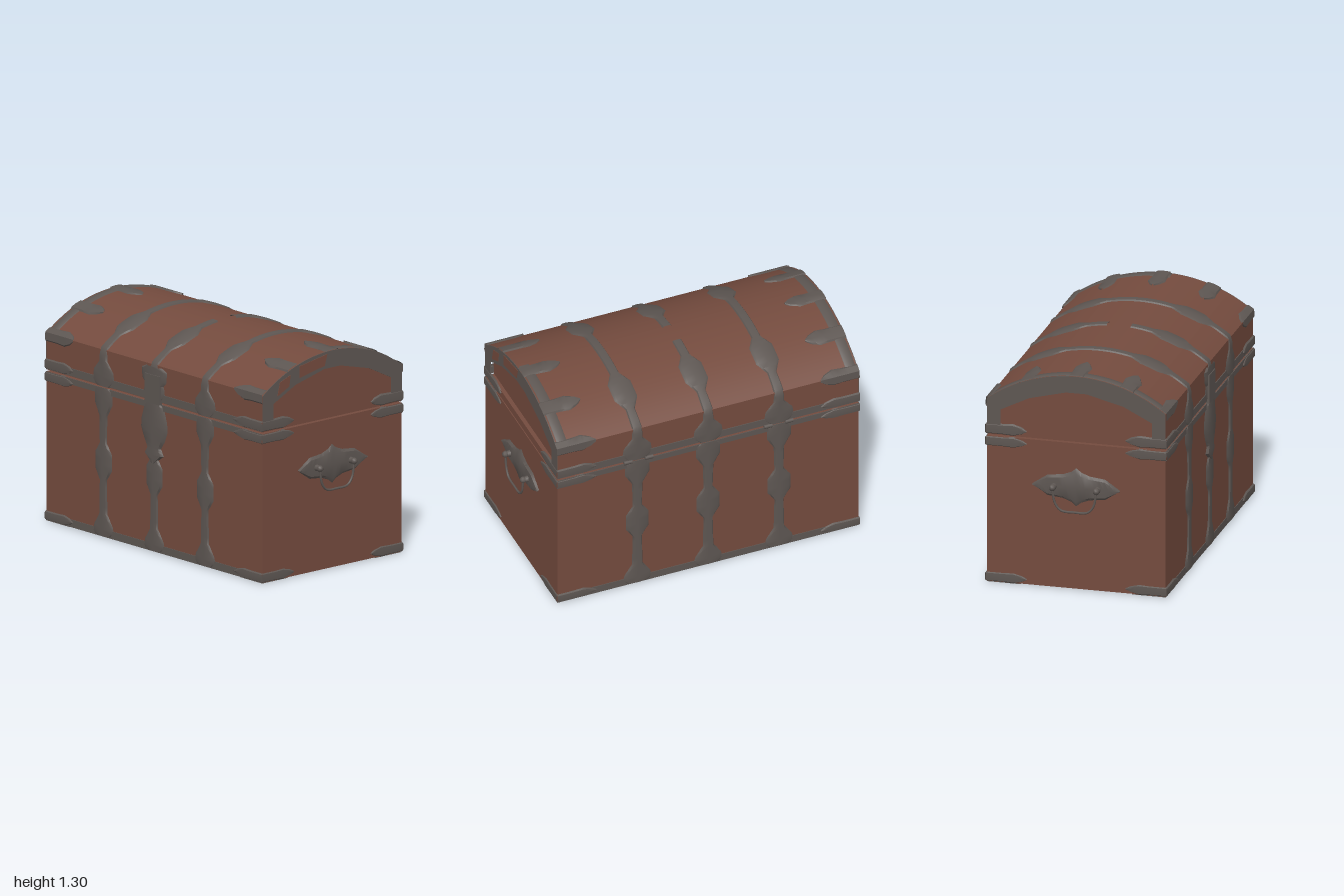
import * as THREE from 'three';
import { toCreasedNormals } from 'three/addons/utils/BufferGeometryUtils.js';

const W = 0.935, D = 0.53;            // half width and half depth of the chest
const SEAM = 0.895, SIDE = 0.215;     // lid bottom, height of the lid's upright wall
const R = 0.87, CY = 0.42, PHI = 0.655; // lid arch

export function createModel() {
  const chest = new THREE.Group();
  chest.name = 'chest';
  const leather = new THREE.MeshStandardMaterial({ color: 0x744b3e, name: 'brown leather' });
  const iron = new THREE.MeshStandardMaterial({ color: 0x5d5652, name: 'dark iron', side: THREE.DoubleSide });

  function add(name, geometry, material, x = 0, y = 0, z = 0) {
    const mesh = new THREE.Mesh(geometry, material);
    mesh.name = name;
    mesh.position.set(x, y, z);
    chest.add(mesh);
    return mesh;
  }
  const box = (name, w, h, d, mat, x, y, z) => add(name, new THREE.BoxGeometry(w, h, d), mat, x, y, z);

  // Extrudes a (z, y) outline along x from x0 to x1
  function slab(name, shape, x0, x1, mat) {
    const g = new THREE.ExtrudeGeometry(shape, { depth: x1 - x0, bevelEnabled: false });
    g.rotateY(-Math.PI / 2).translate(x1, 0, 0);
    return add(name, toCreasedNormals(g, 0.4), mat);
  }
  const outline = (pts) => new THREE.Shape(pts.map(([z, y]) => new THREE.Vector2(z, y)));

  // Point [y, z] on the lid at distance s above the seam, raised by h
  function lidPoint(s, h) {
    if (s < SIDE) return [SEAM + s, D + h];
    const a = PHI - (s - SIDE) / R;
    return [CY + (R + h) * Math.cos(a), (R + h) * Math.sin(a)];
  }

  // Domed metal strip: [distance, half width] profile laid on a surface by map(s, across, height)
  function strip(name, profile, thick, map) {
    const rows = [];
    for (let i = 0; i < profile.length - 1; i++) {
      const [s0, w0] = profile[i], [s1, w1] = profile[i + 1];
      const n = Math.max(1, Math.ceil(Math.abs(s1 - s0) / 0.04));
      for (let k = 0; k < n; k++) rows.push([s0 + (s1 - s0) * k / n, w0 + (w1 - w0) * k / n]);
    }
    rows.push(profile[profile.length - 1]);
    const across = [-1, -0.75, 0, 0.75, 1], height = [-0.003, 0.8 * thick, thick, 0.8 * thick, -0.003];
    const pos = [], index = [];
    rows.forEach(([s, w], r) => across.forEach((c, j) => {
      pos.push(...map(s, c * w, height[j]));
      if (r && j) {
        const b = r * 5 + j, a = b - 5;
        index.push(a - 1, a, b - 1, a, b, b - 1);
      }
    }));
    const g = new THREE.BufferGeometry();
    g.setAttribute('position', new THREE.Float32BufferAttribute(pos, 3));
    g.setIndex(index);
    return add(name, toCreasedNormals(g, 0.7), iron);
  }

  // Body
  box('body', 2 * W, 0.88, 2 * D, leather, 0, 0.445, 0);

  // Domed lid with a recessed panel at each end
  const arch = [[-D, SEAM]];
  for (let i = 0; i <= 32; i++) {
    const a = -PHI + 2 * PHI * i / 32;
    arch.push([R * Math.sin(a), CY + R * Math.cos(a)]);
  }
  arch.push([D, SEAM]);
  const panel = [[-0.45, 0.945], [-0.45, 1.05], [-0.28, 1.135], [-0.06, 1.19],
    [0.06, 1.19], [0.28, 1.135], [0.45, 1.05], [0.45, 0.945]];
  slab('lid', outline(arch), -0.885, 0.885, leather);
  const rimShape = outline(arch);
  rimShape.holes.push(new THREE.Path(panel.map(([z, y]) => new THREE.Vector2(z, y))));
  slab('lidRim', rimShape, 0.885, W, leather);
  slab('lidRim', rimShape, -W, -0.885, leather);

  // Iron arch on each lid end
  const frame = outline([[-D, 0.945], ...arch.slice(1, -1), [D, 0.945], ...panel.slice().reverse()]);
  slab('endFrame', frame, W, W + 0.004, iron);
  slab('endFrame', frame, -W - 0.004, -W, iron);
  // Bare patches between the claws of one end
  for (const p of [[[0.06, 1.21], [0.04, 1.275], [0.25, 1.24], [0.25, 1.17]],
    [[0.33, 1.135], [0.32, 1.2], [0.4, 1.17], [0.42, 1.09]]])
    slab('barePatch', outline(p), W + 0.003, W + 0.007, leather);

  // Iron edging over the lid ends
  const edge = (sx, from, to) => strip('lidEdging', [[from, 0.035], [to, 0.035]], 0.004, (s, c, h) => {
    const [y, z] = lidPoint(s, h);
    return [sx * (0.897 + c), y, -z];
  });
  edge(1, SIDE, 0.84);
  edge(-1, SIDE, 1.355);

  // Straps on front and back, body and lid
  const bodyStrap = [[0.01, 0.07], [0.03, 0.095], [0.07, 0.085], [0.14, 0.035], [0.34, 0.03], [0.4, 0.075],
    [0.5, 0.075], [0.56, 0.03], [0.72, 0.035], [0.79, 0.08], [0.87, 0.08], [0.885, 0.06]];
  const lidStrap = [[0, 0.06], [0.03, 0.1], [0.09, 0.09], [0.15, 0.035], [0.34, 0.03],
    [0.41, 0.075], [0.52, 0.075], [0.59, 0.03]];
  for (const sz of [1, -1]) {
    for (const x of [-0.44, 0, 0.44]) {
      strip('bodyStrap', bodyStrap, 0.012, (s, c, h) => [x + c, s, sz * (D + h)]);
      strip('lidStrap', [...lidStrap, [x ? 0.785 : 0.715, 0.03]], 0.01, (s, c, h) => {
        const [y, z] = lidPoint(s, h);
        return [x + c, y, sz * z];
      });
    }
    // Long bands at the seam and the foot
    box('lidBand', 2 * W, 0.045, 0.01, iron, 0, 0.922, sz * D);
    box('bodyTopBand', 2 * W, 0.035, 0.01, iron, 0, 0.867, sz * D);
    box('footBand', 2 * W, 0.045, 0.008, iron, 0, 0.027, sz * D);
  }

  // Claws and corner fittings
  const claw = (w) => [[0, w * 0.9], [0.1, w * 0.9], [0.16, w], [0.21, w * 0.6], [0.24, w * 0.1]];
  for (const sx of [1, -1]) {
    for (const s0 of [SIDE, 0.48, 0.785, 1.09, 1.355])
      strip('lidClaw', claw(0.055), 0.01, (s, c, h) => {
        const t = s0 + c, back = t > 0.785;
        const [y, z] = lidPoint(back ? 1.57 - t : t, h);
        return [sx * (W + 0.004 - s), y, back ? -z : z];
      });
    for (const sz of [1, -1]) {
      for (const [y0, w] of [[0.033, 0.032], [0.855, 0.033], [0.93, 0.036]]) {
        strip('cornerFront', claw(w), 0.012, (s, c, h) => [sx * (W + 0.004 - s), y0 + c, sz * (D + h)]);
        strip('cornerSide', claw(w), 0.008, (s, c, h) => [sx * (W + h), y0 + c, sz * (D + 0.004 - s)]);
      }
      // Quarter plates under the corners
      const start = sx > 0 ? (sz > 0 ? Math.PI : Math.PI / 2) : (sz > 0 ? 1.5 * Math.PI : 0);
      add('cornerFoot', new THREE.CircleGeometry(0.2, 10, start, Math.PI / 2).rotateX(Math.PI / 2),
        iron, sx * W, 0.001, sz * D);
    }

    // Side handle: pointed plate, lugs and drop bar
    strip('handlePlate', [[-0.26, 0.002], [-0.17, 0.065], [-0.08, 0.075], [-0.03, 0.095], [0, 0.12],
      [0.03, 0.095], [0.08, 0.075], [0.17, 0.065], [0.26, 0.002]], 0.018,
    (s, c, h) => [sx * (W + h), 0.62 + c, s]);
    for (const sz of [1, -1]) {
      const lug = add('handleLug', new THREE.CylinderGeometry(0.014, 0.022, 0.05, 8), iron, sx * 0.965, 0.62, sz * 0.13);
      lug.rotation.z = -sx * Math.PI / 2;
      add('handleLugHead', new THREE.SphereGeometry(0.02, 8, 6), iron, sx * 0.98, 0.62, sz * 0.13);
    }
    const bar = new THREE.CatmullRomCurve3([[0.62, -0.13], [0.53, -0.115], [0.488, -0.08], [0.482, 0],
      [0.488, 0.08], [0.53, 0.115], [0.62, 0.13]].map(([y, z]) => new THREE.Vector3(sx * 0.98, y, z)));
    add('handleBar', new THREE.TubeGeometry(bar, 24, 0.007, 6), iron);
  }

  // Lock plate and hasp
  strip('lockPlate', [[0.53, 0.01], [0.58, 0.085], [0.62, 0.06], [0.67, 0.095], [0.73, 0.12],
    [0.78, 0.115], [0.87, 0.085], [0.89, 0.06]], 0.018, (s, c, h) => [c, s, D + h]);
  strip('haspWings', [[0.98, 0.07], [1.02, 0.11], [1.08, 0.115], [1.1, 0.07]], 0.014, (s, c, h) => [c, s, D + h]);
  box('hasp', 0.13, 0.17, 0.02, iron, 0, 0.968, D + 0.008);

  // Hinge knuckles at the back
  for (const x of [-0.5, -0.37, 0.37, 0.5]) {
    const knuckle = add('hingeKnuckle', new THREE.CylinderGeometry(0.013, 0.013, 0.05, 8), iron, x, 0.89, -D - 0.004);
    knuckle.rotation.z = Math.PI / 2;
  }
  return chest;
}
